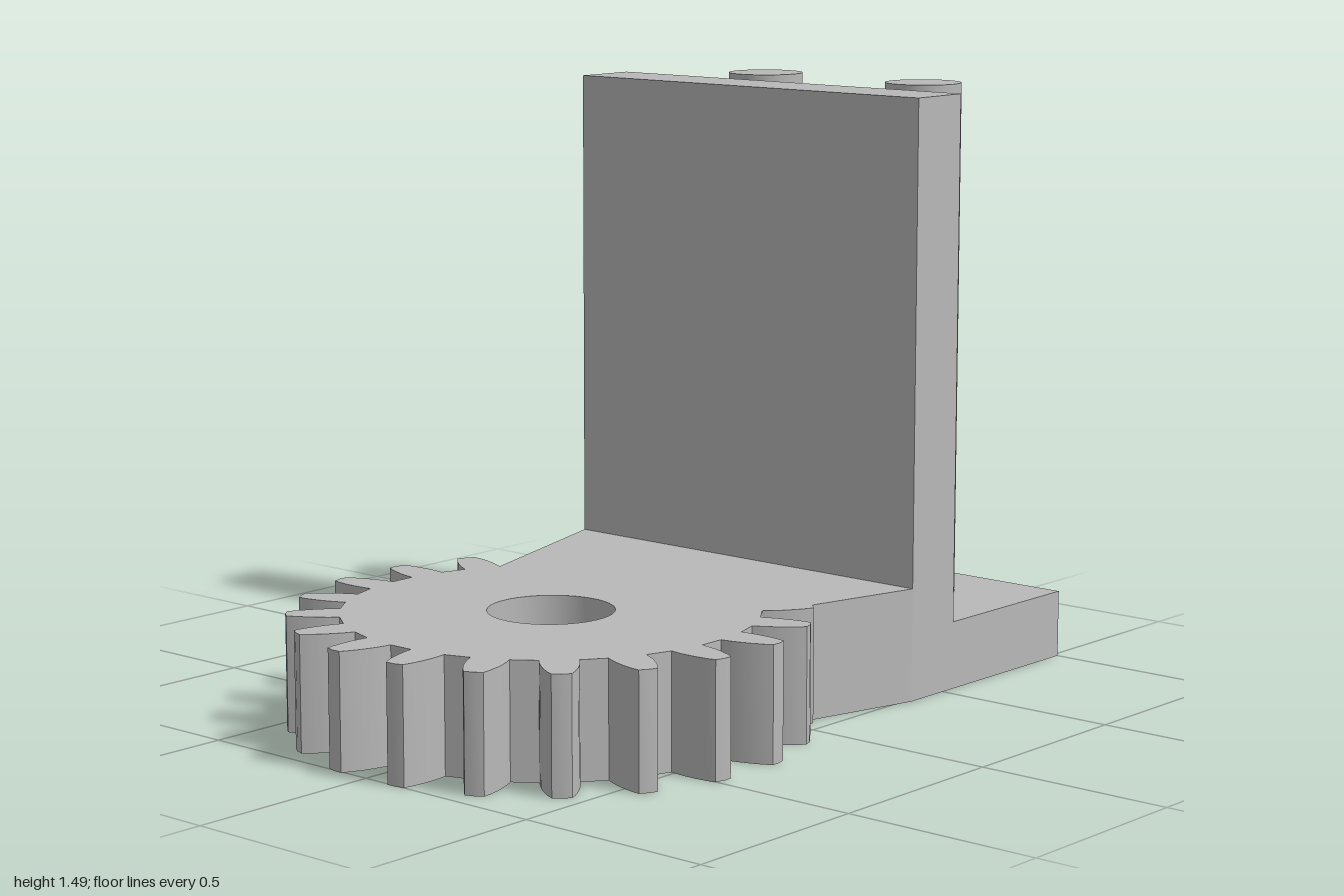
import * as THREE from 'three';
import { toCreasedNormals } from 'three/addons/utils/BufferGeometryUtils.js';

const GEAR_X = -0.38, TEETH = 20, GEAR_HEIGHT = 0.285;
const WALL_X = 0.37, BACK_Z = -0.575, FRONT_Z = 0.515;

// Half tooth profile: [radius, half width], root to tip
const FLANK = [[0.503, 0.046], [0.525, 0.046], [0.55, 0.044], [0.58, 0.039], [0.61, 0.031], [0.63, 0.023]];

// Point on a tooth flank; side -1 is the clockwise flank
function flankPoint(angle, [r, w], side) {
  const c = Math.cos(angle), s = Math.sin(angle);
  return new THREE.Vector2(GEAR_X + r * c - side * w * s, r * s + side * w * c);
}

// Gear sector joined to the tapering arm, with the shaft hole
function gearPlateGeometry() {
  const pitch = (2 * Math.PI) / TEETH;
  const first = THREE.MathUtils.degToRad(63);
  const points = [new THREE.Vector2(WALL_X, -BACK_Z)];
  for (let i = 0; i < 14; i++) {
    const a = first + i * pitch;
    FLANK.forEach(p => points.push(flankPoint(a, p, -1)));
    points.push(new THREE.Vector2(GEAR_X + 0.633 * Math.cos(a), 0.633 * Math.sin(a)));
    [...FLANK].reverse().forEach(p => points.push(flankPoint(a, p, 1)));
  }
  // Last tooth is half buried in the arm
  FLANK.forEach(p => points.push(flankPoint(first + 14 * pitch, p, -1)));
  points.push(new THREE.Vector2(0.07, -0.44), new THREE.Vector2(WALL_X, -FRONT_Z));

  const shape = new THREE.Shape(points);
  const hole = new THREE.Path();
  hole.absarc(GEAR_X, 0, 0.154, 0, Math.PI * 2, true);
  shape.holes.push(hole);
  const geometry = new THREE.ExtrudeGeometry(shape, { depth: GEAR_HEIGHT, bevelEnabled: false, curveSegments: 32 });
  geometry.rotateX(-Math.PI / 2);
  return toCreasedNormals(geometry, 0.5);
}

// Upright wall and lower foot as one L profile
function bracketGeometry() {
  const profile = [[WALL_X, 0], [1, 0], [1, 0.172], [0.54, 0.172], [0.54, 1.49], [WALL_X, 1.49]];
  const shape = new THREE.Shape(profile.map(([x, y]) => new THREE.Vector2(x, y)));
  const geometry = new THREE.ExtrudeGeometry(shape, { depth: FRONT_Z - BACK_Z, bevelEnabled: false });
  return geometry.translate(0, 0, BACK_Z);
}

export function createModel() {
  const model = new THREE.Group();
  model.name = 'gearBracket';
  const grey = new THREE.MeshStandardMaterial({ color: 0xb8b8b8 });
  grey.name = 'plainGrey';

  const add = (name, geometry) => {
    const mesh = new THREE.Mesh(geometry, grey);
    mesh.name = name;
    model.add(mesh);
    return mesh;
  };

  add('gearPlate', gearPlateGeometry());
  add('wallAndFoot', bracketGeometry());

  // Two round posts standing on the foot
  const posts = { frontPost: 0.229, backPost: -0.288 };
  for (const [name, z] of Object.entries(posts)) {
    add(name, new THREE.CylinderGeometry(0.097, 0.097, 1.328, 48)).position.set(0.769, 0.826, z);
  }
  return model;
}
